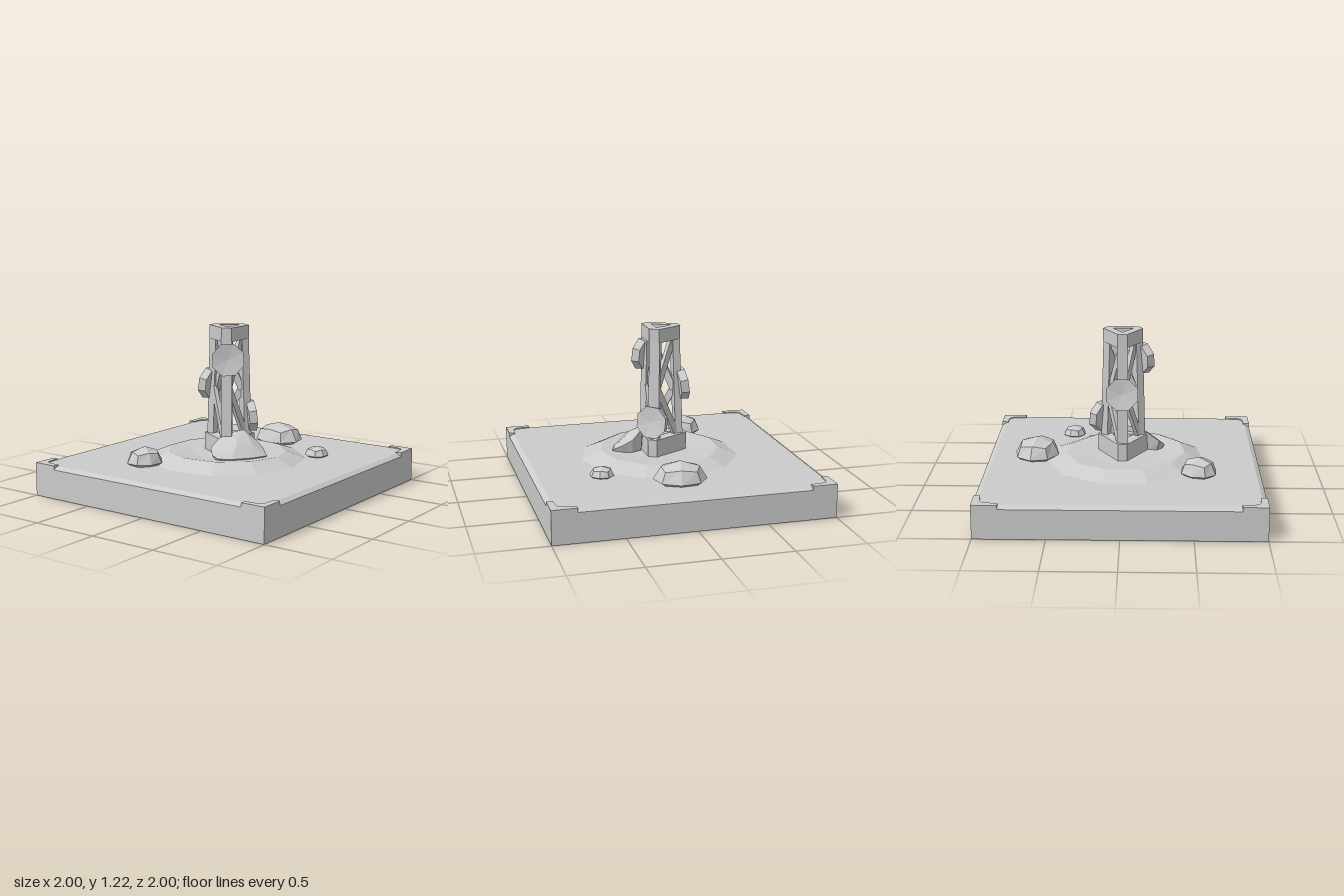
import * as THREE from 'three';
import { ConvexGeometry } from 'three/addons/geometries/ConvexGeometry.js';

const mat = new THREE.MeshStandardMaterial({ color: 0xcccccc, flatShading: true });
const V = (x, y, z) => new THREE.Vector3(x, y, z);
const UP = V(0, 1, 0);

function add(parent, name, geometry) {
  const mesh = new THREE.Mesh(geometry, mat);
  mesh.name = name;
  parent.add(mesh);
  return mesh;
}

// Flat shape laid on the ground plane and extruded upward
function slab(shape, height) {
  return new THREE.ExtrudeGeometry(shape, { depth: height, bevelEnabled: false, curveSegments: 5 }).rotateX(-Math.PI / 2);
}

// Straight bar from a to b, its thin side facing outward
function beam(parent, name, a, b, width, depth, outward) {
  const y = b.clone().sub(a);
  const length = y.length();
  y.normalize();
  const z = outward.clone().addScaledVector(y, -outward.dot(y)).normalize();
  const basis = new THREE.Matrix4().makeBasis(y.clone().cross(z), y, z);
  const mesh = add(parent, name, new THREE.BoxGeometry(width, length, depth));
  mesh.quaternion.setFromRotationMatrix(basis);
  mesh.position.copy(a).add(b).multiplyScalar(0.5);
}

// Triangle with cut corners and a triangular hole, apex to the back
function triangleRing(corner, side, hole) {
  const half = (2 * side - corner) * Math.sqrt(3);
  const pts = [], inner = [];
  for (let i = 0; i < 3; i++) {
    const a = Math.PI / 2 + i * Math.PI * 2 / 3;
    const c = Math.cos(a), s = Math.sin(a);
    pts.push(new THREE.Vector2(corner * c + half * s, corner * s - half * c));
    pts.push(new THREE.Vector2(corner * c - half * s, corner * s + half * c));
    inner.push(new THREE.Vector2(hole * c, hole * s));
  }
  const shape = new THREE.Shape(pts);
  shape.holes.push(new THREE.Path(inner));
  return shape;
}

function buildBase(root) {
  const base = new THREE.Group();
  base.name = 'base';
  root.add(base);
  add(base, 'block', new THREE.BoxGeometry(2, 0.215, 2).translate(0, 0.1125, 0));
  // Chamfered ground plate
  const r = Math.SQRT2;
  add(base, 'groundPlate', new THREE.CylinderGeometry(0.965 * r, r, 0.022, 4).rotateY(Math.PI / 4).translate(0, 0.231, 0));
  // Corner brackets
  const L = new THREE.Shape();
  L.moveTo(0, 0);
  L.lineTo(0.18, 0);
  L.lineTo(0.18, 0.045);
  L.lineTo(0.1, 0.05);
  L.quadraticCurveTo(0.055, 0.055, 0.05, 0.1);
  L.lineTo(0.045, 0.18);
  L.lineTo(0, 0.18);
  for (let i = 0; i < 4; i++) {
    const g = slab(L, 0.04).translate(-1, 0.21, 1).rotateY(i * Math.PI / 2);
    add(base, 'cornerBracket', g);
  }
  // Low crater mound
  const profile = [[0.6, 0.235], [0.44, 0.3], [0.26, 0.283], [0, 0.283]].map(p => new THREE.Vector2(...p));
  const mound = new THREE.LatheGeometry(profile, 11).translate(-0.02, 0, 0);
  const p = mound.attributes.position;
  for (let i = 0; i < p.count; i++) {
    if (p.getY(i) > 0.29) p.setY(i, p.getY(i) - 0.02 * p.getX(i));
  }
  mound.computeVertexNormals();
  add(base, 'mound', mound);
}

function buildTower(root) {
  const tower = new THREE.Group();
  tower.name = 'tower';
  root.add(tower);
  add(tower, 'footCollar', slab(triangleRing(0.195, 0.107, 0.09), 0.14).translate(0, 0.27, 0));
  add(tower, 'topCap', slab(triangleRing(0.147, 0.084, 0.085), 0.1).translate(0, 1.12, 0));

  // Legs lean inward; leg 0 front right, 1 back, 2 front left
  const dirs = [Math.PI / 6, -Math.PI / 2, Math.PI * 5 / 6].map(a => V(Math.cos(a), 0, Math.sin(a)));
  const onLeg = (i, y) => dirs[i].clone().multiplyScalar(0.143 - (y - 0.3) * 0.032).setY(y);
  for (let i = 0; i < 3; i++) {
    beam(tower, 'leg', onLeg(i, 0.3), onLeg(i, 1.16), 0.078, 0.054, dirs[i]);
    // Zigzag bracing on each face
    const j = (i + 1) % 3;
    const out = dirs[i].clone().add(dirs[j]).normalize();
    const at = (k, y, offset) => onLeg(k, y).multiply(V(0.85, 1, 0.85)).addScaledVector(out, offset);
    beam(tower, 'upperBrace', at(j, 1.13, 0), at(i, 0.74, 0), 0.05, 0.03, out);
    beam(tower, 'lowerBrace', at(i, 0.76, 0.02), at(j, 0.38, 0.02), 0.05, 0.03, out);
  }

  // Dished eight-sided panels, one on each leg
  const dish = [[0, -0.03], [0.112, -0.03], [0.123, 0.028], [0, 0.012]].map(p => new THREE.Vector2(...p));
  const panels = [
    [V(-0.13, 0.99, 0.085), V(-0.74, 0.1, 0.67)],
    [V(0.15, 0.54, 0.09), V(0.74, 0.1, 0.67)],
    [V(0.003, 0.78, -0.165), V(0, 0.14, -1)],
  ];
  for (const [pos, normal] of panels) {
    const mesh = add(tower, 'dishPanel', new THREE.LatheGeometry(dish, 8).rotateY(Math.PI / 8));
    mesh.position.copy(pos);
    mesh.quaternion.setFromUnitVectors(UP, normal.normalize());
  }
}

function buildRocks(root) {
  // Boulders: rounded cubes half sunk in the ground
  const boulders = [
    [V(-0.55, 0.26, -0.35), V(0.135, 0.115, 0.125), -0.5],
    [V(0.64, 0.265, 0.025), V(0.165, 0.13, 0.19), -0.2],
    [V(0.39, 0.255, 0.525), V(0.088, 0.065, 0.088), -0.4],
  ];
  for (const [pos, size, turn] of boulders) {
    const g = new THREE.BoxGeometry(2, 2, 2, 2, 2, 2);
    const p = g.attributes.position;
    for (let i = 0; i < p.count; i++) {
      const v = V(0, 0, 0).fromBufferAttribute(p, i).normalize();
      // Sunken half is flattened
      if (v.y < -0.1) v.y *= 0.3;
      p.setXYZ(i, v.x, v.y, v.z);
    }
    const mesh = add(root, 'boulder', g);
    mesh.position.copy(pos);
    mesh.scale.copy(size);
    mesh.rotation.y = turn;
  }

  // Leaning slab at the tower foot
  const outline = [
    [-0.31, 0.32, 0.08], [-0.27, 0.36, 0.035], [-0.19, 0.415, 0.045], [-0.1, 0.45, 0.08],
    [0.01, 0.46, 0.13], [0.05, 0.385, 0.215], [0.03, 0.34, 0.29], [-0.02, 0.3, 0.355],
    [-0.13, 0.3, 0.315], [-0.26, 0.3, 0.22], [-0.31, 0.3, 0.13],
  ];
  const pts = outline.map(q => V(...q));
  for (const [x, , z] of outline) pts.push(V(-0.13 + (x + 0.13) * 0.85, 0.27, 0.2 + (z - 0.2) * 0.85));
  pts.push(V(-0.13, 0.415, 0.17), V(-0.06, 0.385, 0.25), V(-0.18, 0.38, 0.2));
  add(root, 'leaningRock', new ConvexGeometry(pts));
}

export function createModel() {
  const root = new THREE.Group();
  root.name = 'towerDiorama';
  buildBase(root);
  buildTower(root);
  buildRocks(root);
  return root;
}
